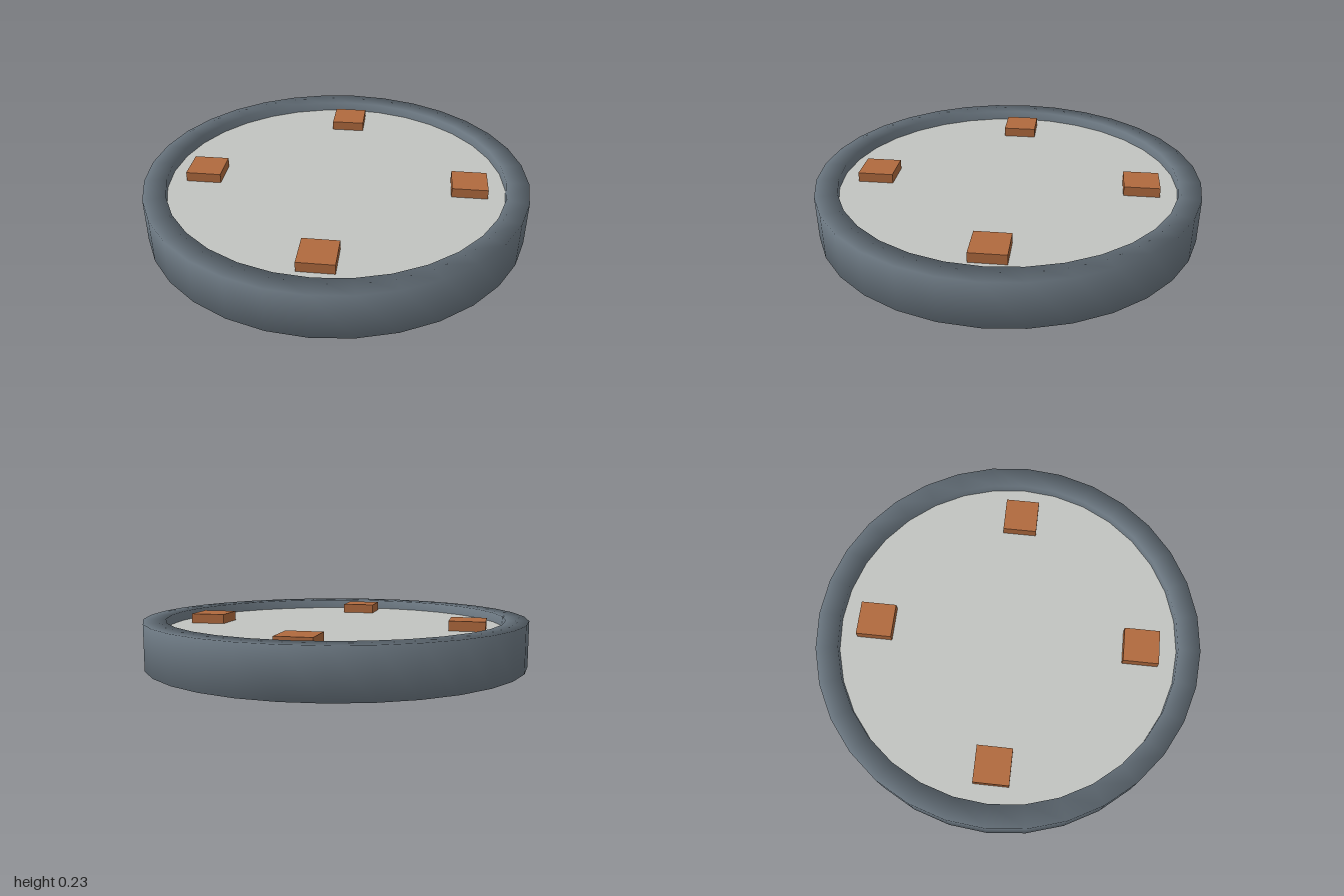
import * as THREE from 'three';
import { mergeVertices } from 'three/addons/utils/BufferGeometryUtils.js';

const SIDES = 32;
const OUTER = 1, INNER = 0.885, HEIGHT = 0.235;

function material(name, color) {
  const m = new THREE.MeshStandardMaterial({ color });
  m.name = name;
  return m;
}

function mesh(name, geometry, mat) {
  const m = new THREE.Mesh(geometry, mat);
  m.name = name;
  return m;
}

// Closed rectangular ring with normals smoothed across its corners
function ringGeometry() {
  const profile = [[OUTER, 0], [OUTER, HEIGHT], [INNER, HEIGHT], [INNER, 0], [OUTER, 0]]
    .map(([r, y]) => new THREE.Vector2(r, y));
  const lathe = new THREE.LatheGeometry(profile, SIDES);
  lathe.deleteAttribute('normal');
  lathe.deleteAttribute('uv');
  const ring = mergeVertices(lathe, 1e-4);
  ring.computeVertexNormals();
  return ring;
}

export function createModel() {
  const group = new THREE.Group();
  group.name = 'roundPlatform';
  const steel = material('slateSteel', 0x6c7882);
  const plate = material('paleGrey', 0xc2c4c0);
  const copper = material('copperBrown', 0xb06a3e);

  group.add(mesh('outerRing', ringGeometry(), steel));

  // Deck plate inside the ring
  const deck = mesh('deckPlate', new THREE.CylinderGeometry(INNER, INNER, 0.067, SIDES), plate);
  deck.position.y = 0.1515;
  group.add(deck);

  // Four pads on the deck, each with a radial rod beneath it
  const padGeometry = new THREE.BoxGeometry(0.184, 0.05, 0.18);
  const rodGeometry = new THREE.CylinderGeometry(0.032, 0.032, 0.53, 12).rotateZ(Math.PI / 2);
  for (let i = 0; i < 4; i++) {
    const arm = new THREE.Group();
    arm.name = 'arm' + (i + 1);
    const pad = mesh('pad', padGeometry, copper);
    pad.position.set(0.697, 0.21, 0);
    const rod = mesh('supportRod', rodGeometry, steel);
    rod.position.set(0.605, 0.068, 0);
    arm.add(pad, rod);
    arm.rotation.y = i * Math.PI / 2;
    group.add(arm);
  }
  return group;
}
